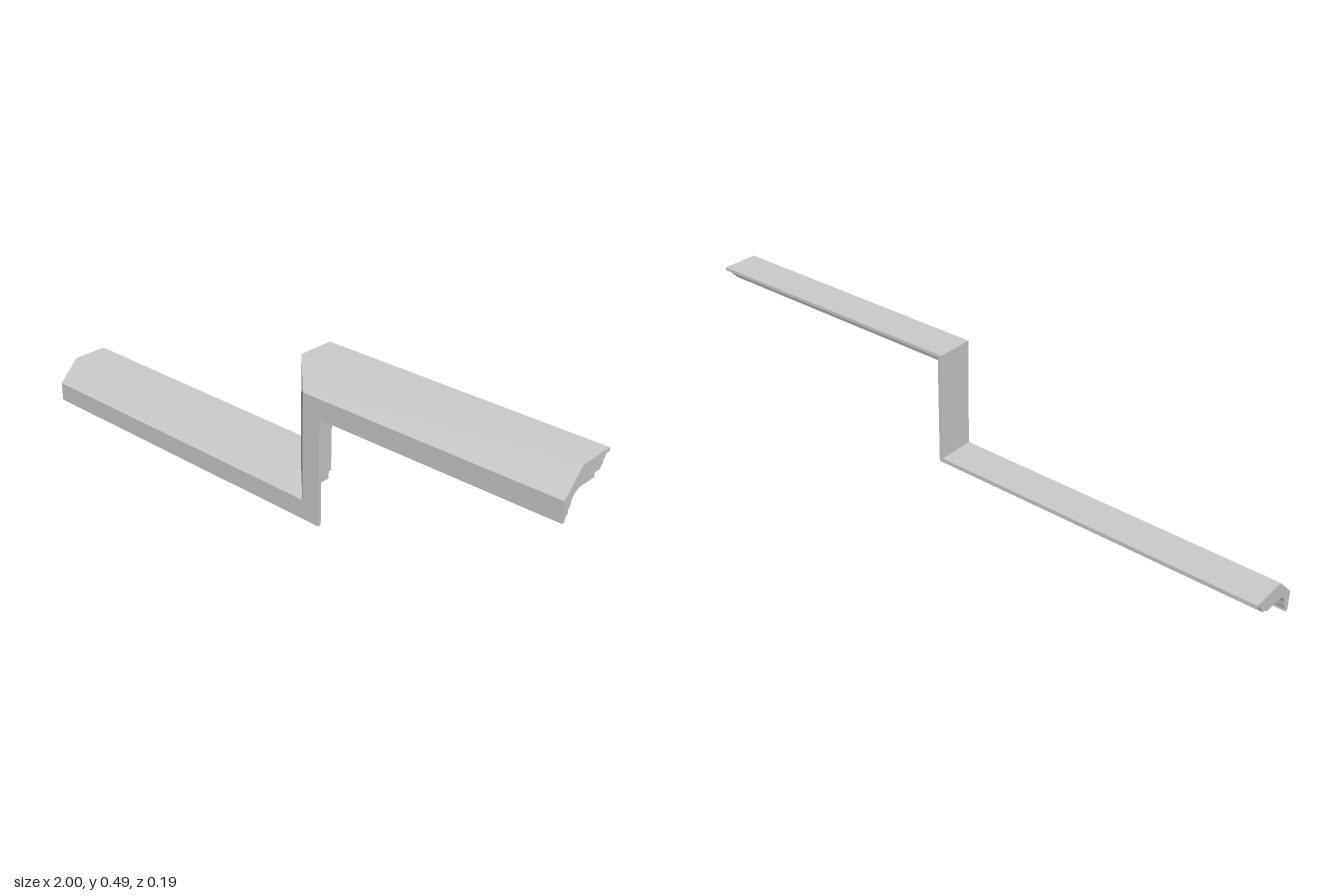
import * as THREE from 'three';
import { toCreasedNormals } from 'three/addons/utils/BufferGeometryUtils.js';

const CORNER = 0.205; // x of the lower outside corner
const RISE = 0.352;   // height of the vertical jog

// Moulding cross-section: horizontal axis is -z, vertical axis is height
function mouldingProfile() {
  const s = new THREE.Shape();
  s.moveTo(-0.096, 0);
  s.lineTo(-0.085, 0);
  // small front bead
  s.lineTo(-0.085, 0.012);
  s.quadraticCurveTo(-0.075, 0.015, -0.074, 0.025);
  s.lineTo(-0.074, 0.035);
  s.lineTo(-0.067, 0.035);
  // large cove
  s.absellipse(-0.025, 0.035, 0.042, 0.042, Math.PI, Math.PI / 2, true);
  s.lineTo(0.034, 0.077);
  // stepped fillets towards the back
  s.lineTo(0.034, 0.09);
  s.lineTo(0.059, 0.09);
  s.lineTo(0.059, 0.097);
  s.quadraticCurveTo(0.069, 0.099, 0.07, 0.107);
  s.lineTo(0.07, 0.114);
  s.lineTo(0.075, 0.114);
  s.quadraticCurveTo(0.076, 0.123, 0.083, 0.126);
  s.lineTo(0.096, 0.126);
  // plain back, top and sloped face
  s.lineTo(0.096, 0.136);
  s.lineTo(-0.025, 0.136);
  s.lineTo(-0.096, 0.064);
  s.closePath();
  return s;
}

export function createModel() {
  const group = new THREE.Group();
  group.name = 'steppedCornice';

  const geo = new THREE.ExtrudeGeometry(mouldingProfile(), {
    depth: 3, steps: 3, bevelEnabled: false, curveSegments: 12,
  });

  // Move the four stations onto the Z-shaped path, mitring both corners
  const pos = geo.attributes.position;
  for (let i = 0; i < pos.count; i++) {
    const station = Math.round(pos.getZ(i));
    const h = pos.getY(i);
    const x = [-1, CORNER - h, CORNER - h, 1][station];
    const y = station < 2 ? h : h + RISE;
    pos.setXYZ(i, x, y, -pos.getX(i));
  }

  const moulding = new THREE.Mesh(
    toCreasedNormals(geo, 0.5),
    new THREE.MeshStandardMaterial({ color: 0xcccccc }),
  );
  moulding.name = 'moulding';
  group.add(moulding);
  return group;
}
